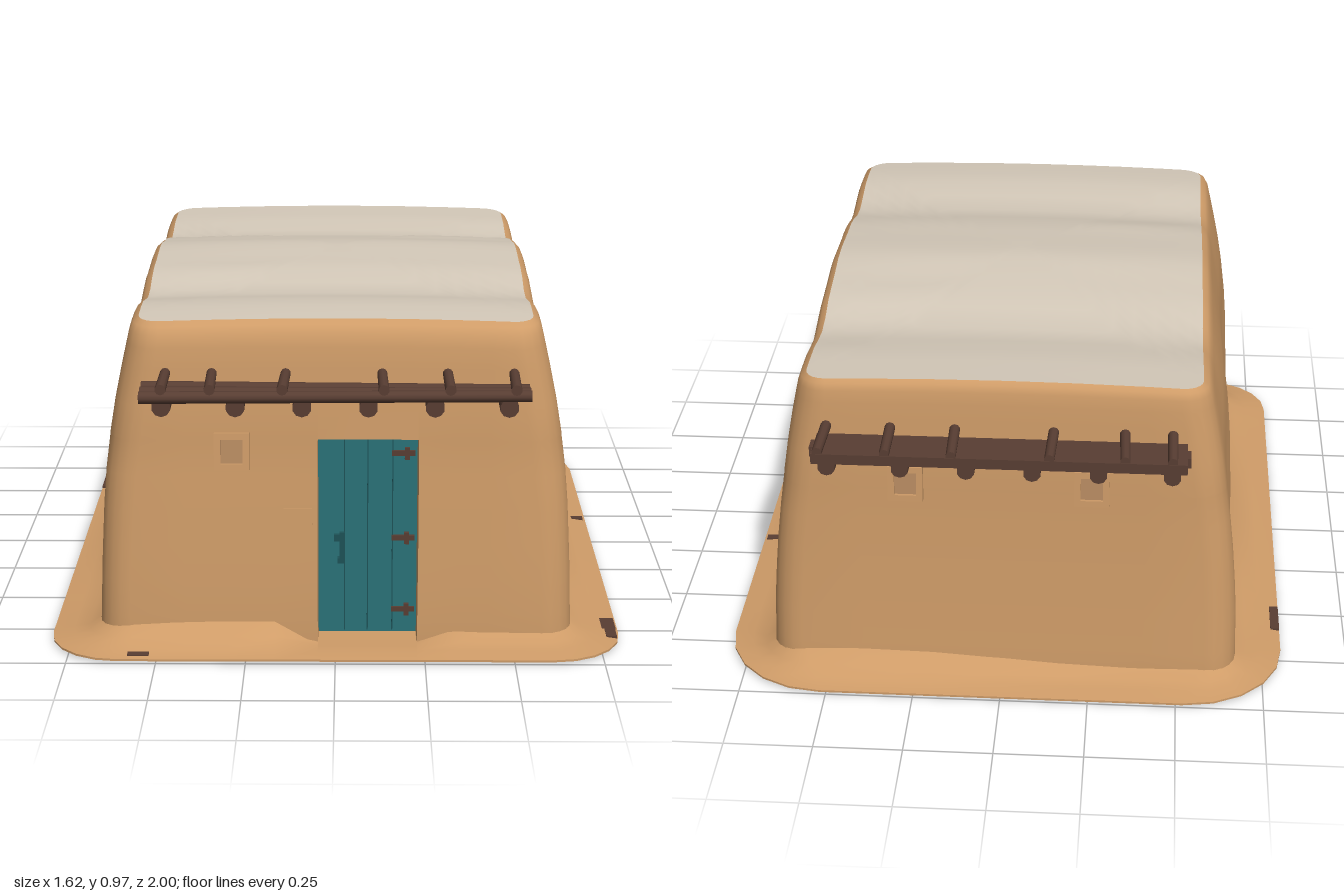
import * as THREE from 'three';
import { toCreasedNormals } from 'three/addons/utils/BufferGeometryUtils.js';

const mat = (name, color, side = THREE.FrontSide) => {
  const m = new THREE.MeshStandardMaterial({ color, side });
  m.name = name;
  return m;
};

export function createModel() {
  const clay = mat('clay', 0xcf9c68, THREE.DoubleSide);
  const wornClay = mat('worn clay', 0xb98c62);
  const plaster = mat('pale roof plaster', 0xd3c8b8);
  const wood = mat('dark wood', 0x593e33);
  const teal = mat('teal paint', 0x2a7278);
  const darkTeal = mat('dark teal', 0x1d5257);
  const model = new THREE.Group();
  model.name = 'adobeHouse';

  const add = (name, geo, material, x = 0, y = 0, z = 0, parent = model) => {
    const m = new THREE.Mesh(geo, material);
    m.name = name;
    m.position.set(x, y, z);
    parent.add(m);
    return m;
  };
  const box = (w, h, d) => new THREE.BoxGeometry(w, h, d);

  // Rolling roof height
  const wave = [[0.9, 0.915], [0.6, 0.932], [0.4, 0.905], [0.2, 0.945], [-0.05, 0.96],
    [-0.25, 0.935], [-0.45, 0.888], [-0.65, 0.915], [-0.9, 0.92]];
  const roofY = (x, z) => {
    let i = 0;
    while (i < wave.length - 2 && z < wave[i + 1][0]) i++;
    const [a, b] = [wave[i], wave[i + 1]];
    const t = THREE.MathUtils.smoothstep(a[0] - z, 0, a[0] - b[0]);
    return a[1] + (b[1] - a[1]) * t + 0.012 * (1 - (x / 0.57) ** 2);
  };

  // Rounded rectangle outline; the front has columns at the door jambs
  const DOOR = [-0.05, 0.23];
  const frontX = [-0.42, -0.3, -0.17, DOOR[0], DOOR[0] + 0.002, 0.04, 0.14, DOOR[1] - 0.002, DOOR[1], 0.34, 0.43];
  const outline = (hx, zf, zb, rf, rb = rf, s = 1) => {
    const p = [];
    const corner = (cx, cz, r, start) => {
      for (let i = 0; i <= 5; i++) {
        const a = start - (i / 5) * Math.PI / 2;
        p.push([cx + r * Math.cos(a), cz + r * Math.sin(a)]);
      }
    };
    const side = (x, z0, z1) => {
      for (let i = 1; i < 20; i++) p.push([x, z0 + (z1 - z0) * i / 20]);
    };
    frontX.forEach(x => p.push([x, zf]));
    corner(hx - rf, zf - rf, rf, Math.PI / 2);
    side(hx, zf - rf, zb + rb);
    corner(hx - rb, zb + rb, rb, 0);
    [0.4, 0.2, 0, -0.2, -0.4].forEach(x => p.push([x, zb]));
    corner(-hx + rb, zb + rb, rb, -Math.PI / 2);
    side(-hx, zb + rb, zf - rf);
    corner(-hx + rf, zf - rf, rf, Math.PI);
    return p.map(([x, z]) => [x * s, z * s]);
  };

  // Skin over a stack of rings of [x, y, z] points
  const loft = (rings, crease) => {
    const n = rings[0].length, index = [];
    for (let j = 0; j < rings.length - 1; j++) {
      for (let i = 0; i < n; i++) {
        const a = j * n + i, b = j * n + (i + 1) % n;
        index.push(a, b, b + n, a, b + n, a + n);
      }
    }
    const g = new THREE.BufferGeometry();
    g.setAttribute('position', new THREE.Float32BufferAttribute(rings.flat(2), 3));
    g.setIndex(index);
    return toCreasedNormals(g, crease);
  };

  // Walls: [y, half width, front z, back z, corner radius], door recess pushed in
  const walls = [
    [0.0, 0.672, 0.885, -0.885, 0.09], [0.018, 0.672, 0.885, -0.885, 0.09],
    [0.02, 0.672, 0.885, -0.885, 0.09], [0.1, 0.668, 0.882, -0.88, 0.09],
    [0.2, 0.664, 0.876, -0.872, 0.09], [0.3, 0.657, 0.868, -0.866, 0.09],
    [0.4, 0.65, 0.86, -0.86, 0.09], [0.5, 0.641, 0.852, -0.856, 0.09],
    [0.6, 0.629, 0.843, -0.852, 0.09], [0.604, 0.629, 0.843, -0.852, 0.09],
    [0.7, 0.615, 0.834, -0.847, 0.09], [0.8, 0.596, 0.826, -0.842, 0.09],
    [0.86, 0.583, 0.82, -0.838, 0.09], [0.895, 0.575, 0.812, -0.834, 0.085],
    [0.915, 0.565, 0.797, -0.828, 0.075], [0.925, 0.55, 0.775, -0.815, 0.06]];
  const wallRings = walls.map(([y, hx, zf, zb, r]) =>
    outline(hx, zf, zb, r).map(([x, z], i) => {
      const inDoor = i > 3 && i < 8 && y > 0.019 && y < 0.602;
      const bump = inDoor ? 1 : 1 + 0.008 * Math.sin(z * 7 + y * 5) * Math.sin(Math.PI * y / 0.925);
      return [x * bump, y + (roofY(x, z) - 0.925) * (y / 0.925) ** 4, inDoor ? 0.775 : z];
    }));
  add('walls', loft(wallRings, 0.7), clay);

  // Roof surface
  const roofRings = [1, 0.98, 0.93, 0.85, 0.75, 0.64, 0.53, 0.42, 0.31, 0.2, 0.1, 0].map(s =>
    outline(0.55, 0.775, -0.815, 0.06, 0.06, s).map(([x, z]) => [x, roofY(x, z), z]));
  add('roof', loft(roofRings, 1.2), plaster);

  // Flared ground skirt with a slightly raised underside rim
  const skirt = [
    [0, 0.63, 0.85, -0.85, 0.1, 0.1, 0], [0, 0.63, 0.85, -0.85, 0.1, 0.1],
    [0.007, 0.645, 0.865, -0.865, 0.1, 0.1], [0.007, 0.808, 1, -1, 0.2, 0.29],
    [0.013, 0.808, 1, -1, 0.2, 0.29], [0.022, 0.75, 0.95, -0.95, 0.17, 0.22],
    [0.038, 0.705, 0.915, -0.915, 0.13, 0.15], [0.07, 0.665, 0.875, -0.875, 0.1, 0.1]];
  const skirtRings = skirt.map(([y, hx, zf, zb, rf, rb, s]) =>
    outline(hx, zf, zb, rf, rb, s).map(([x, z], i) => {
      const k = y > 0.03 ? 1 + 0.25 * Math.sin(z * 5 + 4.5 + x * 4) : 1;
      return [x, i > 2 && i < 9 ? Math.min(y, 0.02) : y * k, z];
    }));
  add('groundSkirt', loft(skirtRings, 0.9), clay);

  // Exposed dark patches along the skirt
  [[-0.795, -0.55, 0.026, 0.12], [-0.75, -0.09, 0.014, 0.15], [-0.71, 0.73, 0.025, 0.05],
    [0.775, 0.74, 0.055, 0.08], [0.785, 0.8, 0.03, 0.08], [0.78, -0.18, 0.04, 0.025],
    [-0.55, 0.97, 0.06, 0.03]].forEach(([x, z, w, d]) =>
    add('skirtPatch', box(w, 0.008, d), wood, x, 0.016, z));

  // Door with plank seams, strap hinges and pull handle
  const door = new THREE.Group();
  door.name = 'door';
  door.position.set(0.09, 0.31, 0.79);
  model.add(door);
  add('doorPanel', box(0.278, 0.582, 0.03), teal, 0, 0, 0, door);
  [-0.065, 0.0, 0.07].forEach(x => add('plankSeam', box(0.003, 0.57, 0.004), darkTeal, x, 0, 0.0155, door));
  [0.245, -0.005, -0.22].forEach(y => {
    add('hingeStrap', box(0.065, 0.014, 0.012), wood, 0.1, y, 0.018, door);
    add('hingePin', box(0.014, 0.034, 0.016), wood, 0.11, y, 0.02, door);
  });
  add('handlePlate', box(0.03, 0.02, 0.012), darkTeal, -0.08, -0.005, 0.02, door);
  add('handleBar', box(0.014, 0.09, 0.012), darkTeal, -0.072, -0.03, 0.032, door);
  add('handleFoot', box(0.02, 0.014, 0.024), darkTeal, -0.075, -0.07, 0.024, door);

  // Small framed windows, one in front and two at the back
  const addWindow = (x, y, z, back) => {
    const g = new THREE.Group();
    g.name = back ? 'backWindow' : 'frontWindow';
    g.position.set(x, y, z);
    g.rotation.set(back ? 0.05 : -0.09, back ? Math.PI : 0, 0);
    model.add(g);
    for (const s of [-1, 1]) {
      add('frameSide', box(0.018, 0.105, 0.03), clay, s * 0.04, 0, 0.002, g);
      add('frameBar', box(0.062, 0.018, 0.03), clay, 0, s * 0.0435, 0.002, g);
    }
    add('windowPanel', box(0.064, 0.07, 0.008), wornClay, 0, 0, 0.004, g);
  };
  addWindow(-0.288, 0.572, 0.846, false);
  addWindow(0.27, 0.625, -0.853, true);
  addWindow(-0.25, 0.625, -0.853, true);

  // Exposed brick beside the door
  add('looseBrick', box(0.08, 0.045, 0.02), clay, -0.105, 0.385, 0.856).rotation.x = -0.08;

  // Timber awnings: round joists, lengthwise poles or boards, cross poles on top
  const pole = (r, len, alongX) => {
    const g = new THREE.CylinderGeometry(r, r * 0.93, len, 10);
    return alongX ? g.rotateZ(Math.PI / 2) : g.rotateX(Math.PI / 2);
  };
  const awning = dir => {
    const g = new THREE.Group();
    g.name = dir > 0 ? 'frontAwning' : 'backAwning';
    model.add(g);
    [-0.47, -0.27, -0.09, 0.09, 0.27, 0.47].forEach(x =>
      add('joist', pole(0.026, 0.2, false), wood, x, 0.737, dir * 0.885, g));
    [-0.47, -0.34, -0.14, 0.13, 0.31, 0.49].forEach((x, i) =>
      add('crossPole', pole(0.015, 0.18, false), wood, x, 0.791, dir * 0.908, g).rotation.y = 0.03 * Math.sin(i * 2.3));
    if (dir > 0) {
      [0.9, 0.945, 0.982].forEach((z, i) =>
        add('longPole', pole(0.017, 1.06, true), wood, 0, 0.768, z, g).rotation.z = 0.006 * (i - 1));
    } else {
      [-0.89, -0.934, -0.978].forEach((z, i) =>
        add('board', box(1.02 + 0.02 * (i % 2), 0.03, 0.043), wood, 0, 0.768 + 0.003 * (i - 1), z, g));
    }
  };
  awning(1);
  awning(-1);
  return model;
}
